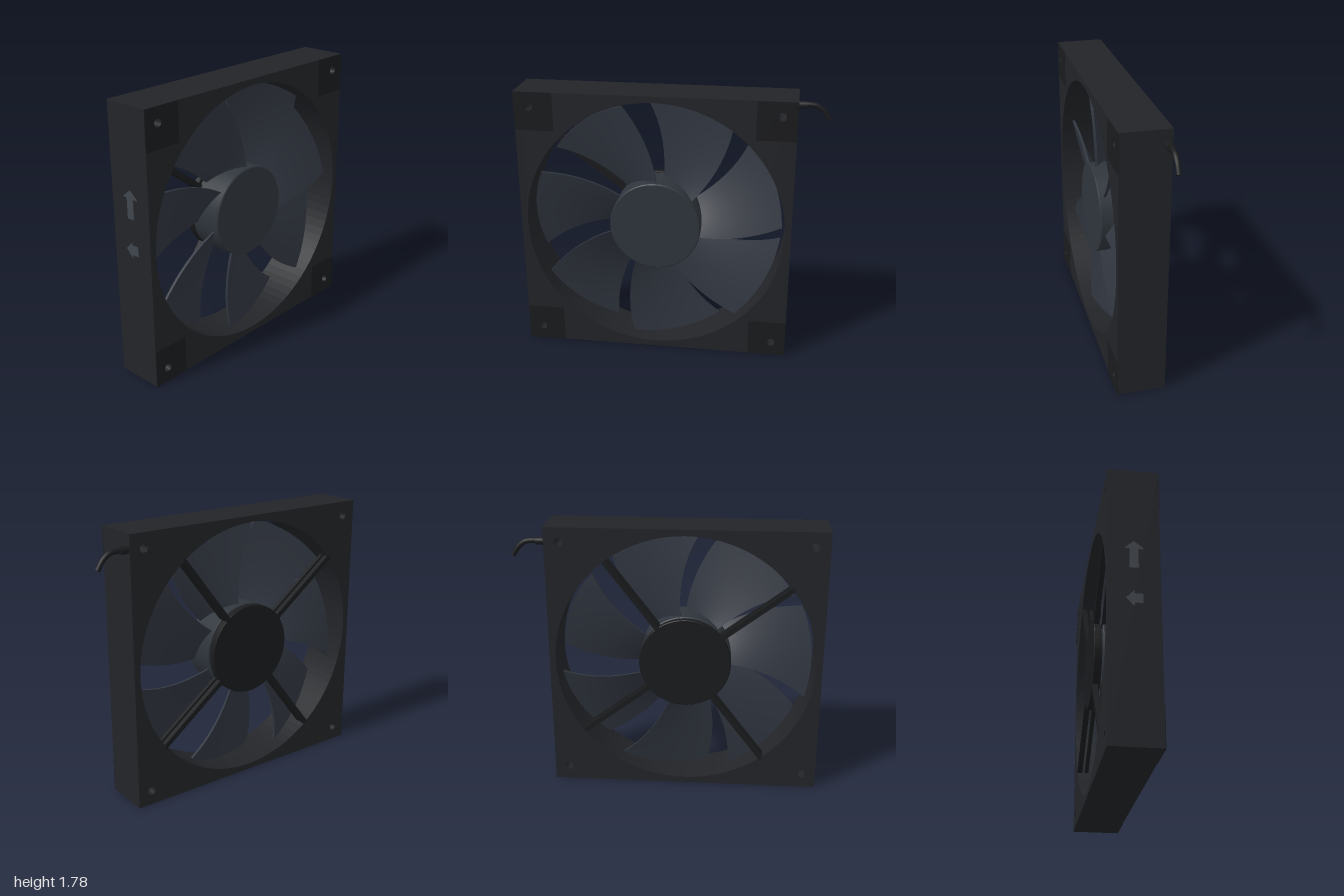
import * as THREE from 'three';

const SIZE = 1.78, BORE = 0.85, HUB = 0.3, BACK = -0.157, FRONT = 0.155;

const mat = (color) => new THREE.MeshStandardMaterial({ color });
const frameMat = mat(0x222428), bladeMat = mat(0x30353f), hubMat = mat(0x2f353c);
const blackMat = mat(0x1a1b1d), arrowMat = mat(0x41464d);

function add(parent, name, geometry, material) {
  const mesh = new THREE.Mesh(geometry, material);
  mesh.name = name;
  parent.add(mesh);
  return mesh;
}

function square(cx, cy, size) {
  const h = size / 2;
  return new THREE.Shape([[-h, -h], [h, -h], [h, h], [-h, h]]
    .map(([x, y]) => new THREE.Vector2(cx + x, cy + y)));
}

function hole(x, y, r) {
  return new THREE.Path().absarc(x, y, r, 0, Math.PI * 2, true);
}

// Extrude a shape between two depths along the fan axis
function slab(shape, z0, z1, curveSegments = 48) {
  return new THREE.ExtrudeGeometry(shape, { depth: z1 - z0, bevelEnabled: false, curveSegments })
    .translate(0, 0, z0);
}

// Solid disc with slightly eased rims, axis along z
function disc(r, z0, z1, ease) {
  const profile = [[0, z0], [r - ease, z0], [r, z0 + ease], [r, z1 - ease], [r - ease, z1], [0, z1]];
  const points = [];
  profile.forEach(([x, y], i) => {
    // doubled points keep the rims crisp
    points.push(new THREE.Vector2(x, y));
    if (i > 0 && i < 5) points.push(new THREE.Vector2(x, y));
  });
  return new THREE.LatheGeometry(points, 64).rotateX(Math.PI / 2);
}

// Swept, pitched blade: a box remapped to radius, angle and depth
function bladeGeometry() {
  const geo = new THREE.BoxGeometry(1, 1, 1, 14, 14, 1);
  const p = geo.attributes.position;
  for (let i = 0; i < p.count; i++) {
    const a = p.getX(i) + 0.5, b = p.getY(i) + 0.5;
    const r = THREE.MathUtils.lerp(0.285, 0.828, a);
    const t = (r - HUB) / 0.53;
    const angle = THREE.MathUtils.degToRad(
      THREE.MathUtils.lerp(37.5 + 16 * t, 83 + 7 * t + 5 * t * t, b));
    const z = THREE.MathUtils.lerp(0.08, -0.068, b) + p.getZ(i) * 0.018;
    p.setXYZ(i, r * Math.cos(angle), r * Math.sin(angle), z);
  }
  geo.computeVertexNormals();
  return geo;
}

// Flat arrow pointing along +y
function arrowGeometry(headHalf, headLen, shaftHalf, shaftLen) {
  const pts = [[-shaftHalf, 0], [shaftHalf, 0], [shaftHalf, shaftLen], [headHalf, shaftLen],
    [0, shaftLen + headLen], [-headHalf, shaftLen], [-shaftHalf, shaftLen]];
  return slab(new THREE.Shape(pts.map(([x, y]) => new THREE.Vector2(x, y))), -0.004, 0.005);
}

export function createModel() {
  const model = new THREE.Group();
  model.name = 'caseFan';

  // Fan assembly is built around local z, then turned to face +x
  const fan = new THREE.Group();
  fan.name = 'fanAssembly';
  fan.rotation.y = Math.PI / 2;
  fan.position.set(0, SIZE / 2, 0.105);
  model.add(fan);

  // Square housing with round bore and corner screw holes
  const m = 0.795;
  const corners = [[m, m], [-m, m], [-m, -m], [m, -m]];
  const housing = square(0, 0, SIZE);
  housing.holes.push(hole(0, 0, BORE), ...corners.map(([x, y]) => hole(x, y, 0.027)));
  add(fan, 'housing', slab(housing, BACK, FRONT), frameMat);

  // Thin corner pads on the intake face
  for (const [x, y] of corners) {
    const c = SIZE / 2 - 0.125;
    const pad = square(Math.sign(x) * c, Math.sign(y) * c, 0.25);
    pad.holes.push(hole(x, y, 0.027));
    add(fan, 'cornerPad', slab(pad, FRONT - 0.002, FRONT + 0.003), blackMat);
  }

  // Rotor: hub and seven blades
  const rotor = new THREE.Group();
  rotor.name = 'rotor';
  fan.add(rotor);
  add(rotor, 'hub', disc(HUB, -0.1, 0.12, 0.006), hubMat);
  const blade = bladeGeometry();
  for (let i = 0; i < 7; i++) {
    add(rotor, 'blade', blade, bladeMat).rotation.z = i * Math.PI * 2 / 7;
  }

  // Motor mount on the exhaust side, joined to the hub by a short neck
  add(fan, 'motorMount', disc(HUB, BACK, -0.115, 0.004), blackMat);
  add(fan, 'motorNeck', disc(0.24, -0.12, -0.095, 0.002), blackMat);

  // Four struts, each a pair of rails one behind the other
  for (let i = 0; i < 4; i++) {
    const strut = new THREE.Group();
    strut.name = 'strut';
    strut.rotation.z = THREE.MathUtils.degToRad(52.7 + 90 * i);
    fan.add(strut);
    for (const [z, depth] of [[-0.14, 0.034], [-0.093, 0.024]]) {
      add(strut, 'strutRail', new THREE.BoxGeometry(0.6, 0.034, depth).translate(0.565, 0, z), blackMat);
    }
  }

  // Cable with strain relief, leaving the rear edge
  const cableX = -0.13, cableY = 1.685;
  add(model, 'cableSleeve', new THREE.CylinderGeometry(0.024, 0.024, 0.07, 20)
    .rotateX(Math.PI / 2).translate(cableX, cableY, -0.8), blackMat);
  const path = new THREE.CatmullRomCurve3([[1.685, -0.8], [1.688, -0.86], [1.68, -0.905],
    [1.65, -0.945], [1.592, -0.985]].map(([y, z]) => new THREE.Vector3(cableX, y, z)));
  add(model, 'cable', new THREE.TubeGeometry(path, 32, 0.017, 14), blackMat);
  const end = add(model, 'cableEnd', new THREE.CircleGeometry(0.017, 14), blackMat);
  end.position.copy(path.getPoint(1));
  end.lookAt(path.getPoint(1).add(path.getTangent(1)));

  // Direction arrows on the front edge: spin and airflow
  add(model, 'spinArrow', arrowGeometry(0.06, 0.05, 0.026, 0.13), arrowMat).position.set(0, 1.09, 0.995);
  const flow = add(model, 'airflowArrow', arrowGeometry(0.052, 0.05, 0.03, 0.05), arrowMat);
  flow.rotation.z = Math.PI / 2;
  flow.position.set(0.05, 0.89, 0.995);

  return model;
}
